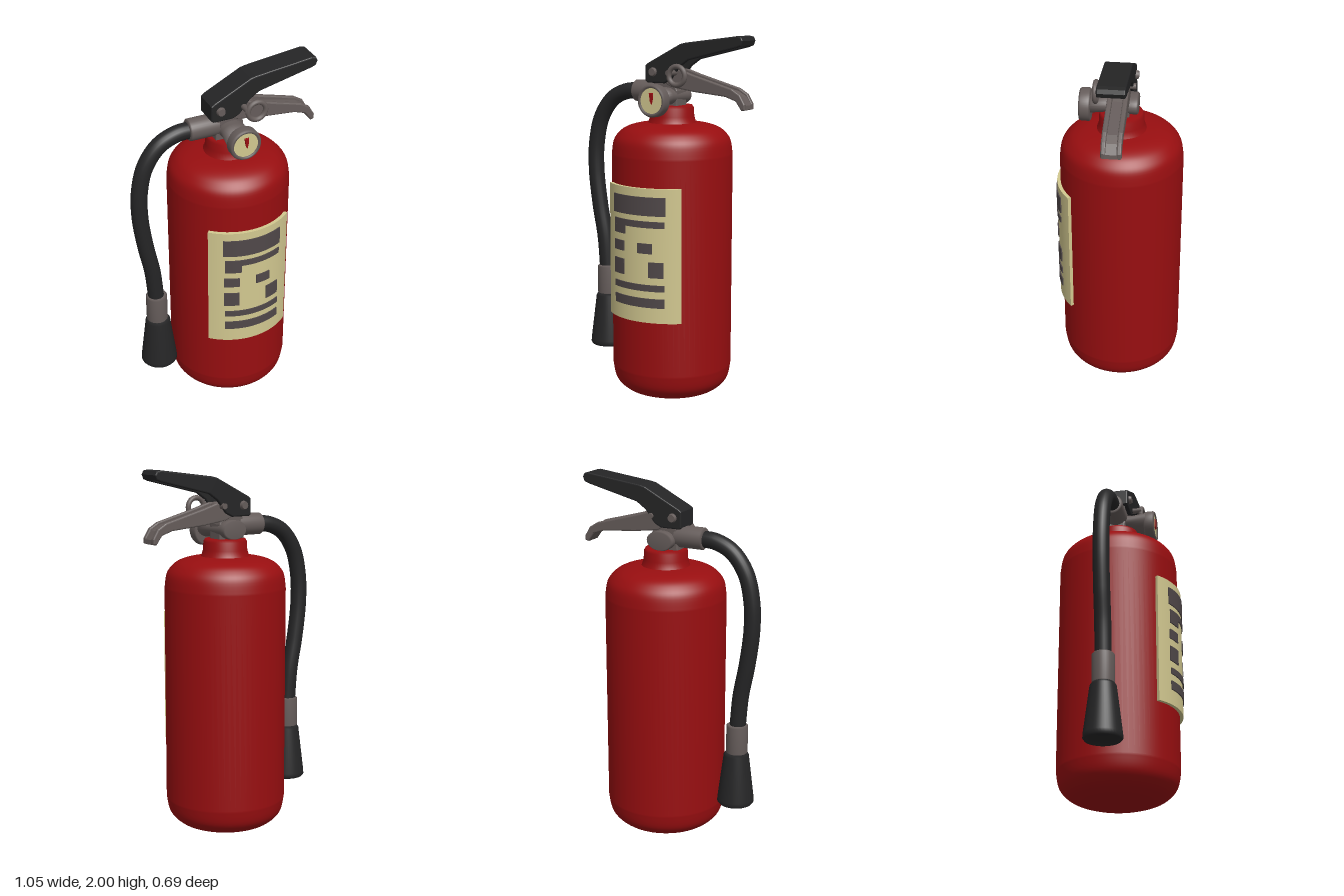
import * as THREE from 'three';

const material = (name, color, side = THREE.FrontSide) => {
  const m = new THREE.MeshStandardMaterial({ color, side });
  m.name = name;
  return m;
};

export function createModel() {
  const model = new THREE.Group();
  model.name = 'fireExtinguisher';
  const red = material('tankRed', 0x980e10);
  const black = material('rubberBlack', 0x252526);
  const grey = material('metalGrey', 0x655c5a);
  const cream = material('labelCream', 0xd2c890);
  const print = material('printGrey', 0x504849);

  const TX = 0.035, TZ = -0.015; // tank axis
  const HZ = -0.01; // plane of handle and hose

  const add = (name, geometry, mat, x = 0, y = 0, z = 0, parent = model) => {
    const mesh = new THREE.Mesh(geometry, mat);
    mesh.name = name;
    mesh.position.set(x, y, z);
    parent.add(mesh);
    return mesh;
  };
  const vec = pts => pts.map(p => new THREE.Vector2(...p));
  const lathe = (pts, n = 48) => new THREE.LatheGeometry(vec(pts), n);

  // Side profile extruded along z, centred on z = 0, with softened edges
  const plate = (pts, width, bevel = 0.008) => {
    const g = new THREE.ExtrudeGeometry(new THREE.Shape(vec(pts)), {
      depth: width - 2 * bevel, bevelSize: bevel, bevelThickness: bevel,
      bevelOffset: -bevel, bevelSegments: 3,
    });
    return g.translate(0, 0, bevel - width / 2);
  };

  // Tank with rounded base and shoulder
  const base = new THREE.SplineCurve(vec([[0.19, 0.002], [0.262, 0.03], [0.315, 0.085], [0.333, 0.17]]));
  const shoulder = new THREE.SplineCurve(vec([[0.333, 1.35], [0.322, 1.425], [0.295, 1.468], [0.255, 1.498], [0.19, 1.518], [0.1, 1.528]]));
  const profile = [[0, 0], ...[...base.getPoints(16), ...shoulder.getPoints(24)].map(p => [p.x, p.y])];
  add('tank', lathe(profile, 72), red, TX, 0, TZ);
  add('neck', lathe([[0.145, 1.5], [0.13, 1.53], [0.121, 1.56], [0.119, 1.605], [0.11, 1.62], [0, 1.62]]), red, TX, 0, TZ);

  // Label panels wrapped round the tank
  const wrap = (x0, x1, y0, y1, r0, r1) => {
    const g = new THREE.BoxGeometry(x1 - x0, y1 - y0, r1 - r0, 24, 1, 1);
    g.translate((x0 + x1) / 2 - TX, (y0 + y1) / 2, (r0 + r1) / 2);
    const p = g.attributes.position;
    for (let i = 0; i < p.count; i++) {
      const a = Math.asin(p.getX(i) / r1), r = p.getZ(i);
      p.setXYZ(i, TX + r * Math.sin(a), p.getY(i), TZ + r * Math.cos(a));
    }
    g.computeVertexNormals();
    return g;
  };
  add('label', wrap(-0.2, 0.267, 0.475, 1.205, 0.325, 0.352), cream);
  [
    [-0.135, 0.2, 1.06, 1.16],
    [-0.125, 0.195, 0.995, 1.03],
    [-0.125, -0.04, 0.95, 0.995],
    [-0.13, -0.05, 0.855, 0.91],
    [0.045, 0.13, 0.855, 0.91],
    [-0.13, -0.05, 0.725, 0.81],
    [0.11, 0.19, 0.725, 0.81],
    [-0.125, 0.195, 0.65, 0.685],
    [-0.125, 0.195, 0.56, 0.61],
  ].forEach((b, i) => add('labelBlock' + (i + 1), wrap(...b, 0.35, 0.358), print));

  // Valve body
  const valve = new THREE.Group();
  valve.name = 'valve';
  model.add(valve);
  const stem = lathe([[0, -0.105], [0.07, -0.105], [0.078, -0.097], [0.078, -0.07], [0.07, 0.07], [0.082, 0.155], [0, 0.155]], 32);
  stem.rotateX(Math.PI / 2).scale(1, 0.68, 1);
  add('valveStem', stem, grey, 0.03, 1.67, 0, valve);
  add('valveBlock', plate([[-0.06, 1.6], [0.1, 1.6], [0.1, 1.7], [0.07, 1.78], [-0.05, 1.78]], 0.1), grey, 0, 0, HZ, valve);

  // Pressure gauge
  const rim = lathe([[0, 0.145], [0.08, 0.145], [0.088, 0.153], [0.088, 0.195], [0.082, 0.205], [0.071, 0.205], [0.068, 0.196], [0, 0.196]]);
  add('gaugeRim', rim.rotateX(Math.PI / 2), grey, 0.04, 1.655, 0, valve);
  add('gaugeFace', new THREE.CircleGeometry(0.069, 40), cream, 0.04, 1.655, 0.198, valve);
  add('gaugeNeedle', plate([[-0.012, 0.03], [0.012, 0.03], [0.01, 0], [0.003, -0.03], [-0.005, -0.015]], 0.009, 0.001), red, 0.042, 1.667, 0.203, valve);

  // Hose, couplings and nozzle
  const hosePath = new THREE.CatmullRomCurve3([
    [-0.17, 1.688], [-0.26, 1.683], [-0.36, 1.637], [-0.44, 1.53], [-0.478, 1.38],
    [-0.482, 1.22], [-0.458, 1.02], [-0.425, 0.84], [-0.408, 0.64],
  ].map(([x, y]) => new THREE.Vector3(x, y, HZ)));
  add('hose', new THREE.TubeGeometry(hosePath, 80, 0.045, 20), black);
  const coupling = lathe([[0, -0.085], [0.052, -0.085], [0.06, -0.077], [0.06, 0.077], [0.052, 0.085], [0, 0.085]], 32);
  add('hoseCoupling', coupling, grey, -0.115, 1.69, HZ).rotation.z = Math.PI / 2;
  add('nozzleCoupling', coupling, grey, -0.407, 0.585, HZ);
  add('nozzle', lathe([[0, 0.24], [0.075, 0.225], [0.085, 0.203], [0.095, 0.2], [0.103, 0.21], [0.102, 0.23],
    [0.07, 0.49], [0.06, 0.505], [0, 0.505]], 40), black, -0.404, 0, HZ);

  // Upper carrying handle: a channel open underneath
  const handle = new THREE.Group();
  handle.name = 'carryHandle';
  handle.position.z = HZ;
  model.add(handle);
  const handleTop = [[-0.092, 1.75], [-0.092, 1.835], [-0.075, 1.848], [0.13, 1.953], [0.16, 1.96], [0.48, 2], [0.505, 1.995], [0.515, 1.975], [0.505, 1.95]];
  const handleSide = [...handleTop, [0.48, 1.94], [0.28, 1.892], [0.18, 1.868], [0.125, 1.83], [0.07, 1.76], [0.03, 1.74], [-0.08, 1.74]];
  const handleBand = [...handleTop, [0.485, 1.945], [0.48, 1.97], [0.16, 1.93], [0.135, 1.923], [-0.062, 1.82], [-0.062, 1.75]];
  add('handleTop', plate(handleBand, 0.144), black, 0, 0, 0, handle);
  for (const s of [-1, 1]) {
    add('handleSide', plate(handleSide, 0.024), black, 0, 0, s * 0.06, handle);
    const rivet = add('handleRivet', new THREE.CylinderGeometry(0.02, 0.026, 0.02, 20), grey, -0.04, 1.8, s * 0.078, handle);
    rivet.rotation.x = s * Math.PI / 2;
  }

  // Lower squeeze lever: side walls with a groove between
  const lever = new THREE.Group();
  lever.name = 'squeezeLever';
  lever.position.z = HZ;
  model.add(lever);
  const under = [[0.52, 1.618], [0.5, 1.612], [0.465, 1.66], [0.4, 1.682], [0.2, 1.7], [0.06, 1.72], [-0.04, 1.77]];
  const leverSide = [[-0.03, 1.82], [0.12, 1.815], [0.2, 1.79], [0.44, 1.725], [0.49, 1.695], [0.52, 1.645], ...under];
  const leverCore = [[-0.03, 1.8], [0.12, 1.795], [0.2, 1.765], [0.44, 1.71], [0.485, 1.685], [0.518, 1.64], ...under];
  add('leverCore', plate(leverCore, 0.08, 0.005), grey, 0, 0, 0, lever);
  for (const s of [-1, 1]) add('leverSide', plate(leverSide, 0.026), grey, 0, 0, s * 0.04, lever);

  // Safety pin with pull ring
  const pin = add('safetyPin', new THREE.CylinderGeometry(0.016, 0.016, 0.21, 16), grey, 0.09, 1.8, 0.01);
  pin.rotation.x = Math.PI / 2;
  add('pullRing', new THREE.TorusGeometry(0.05, 0.014, 12, 36), grey, 0.143, 1.787, 0.108);

  return model;
}
